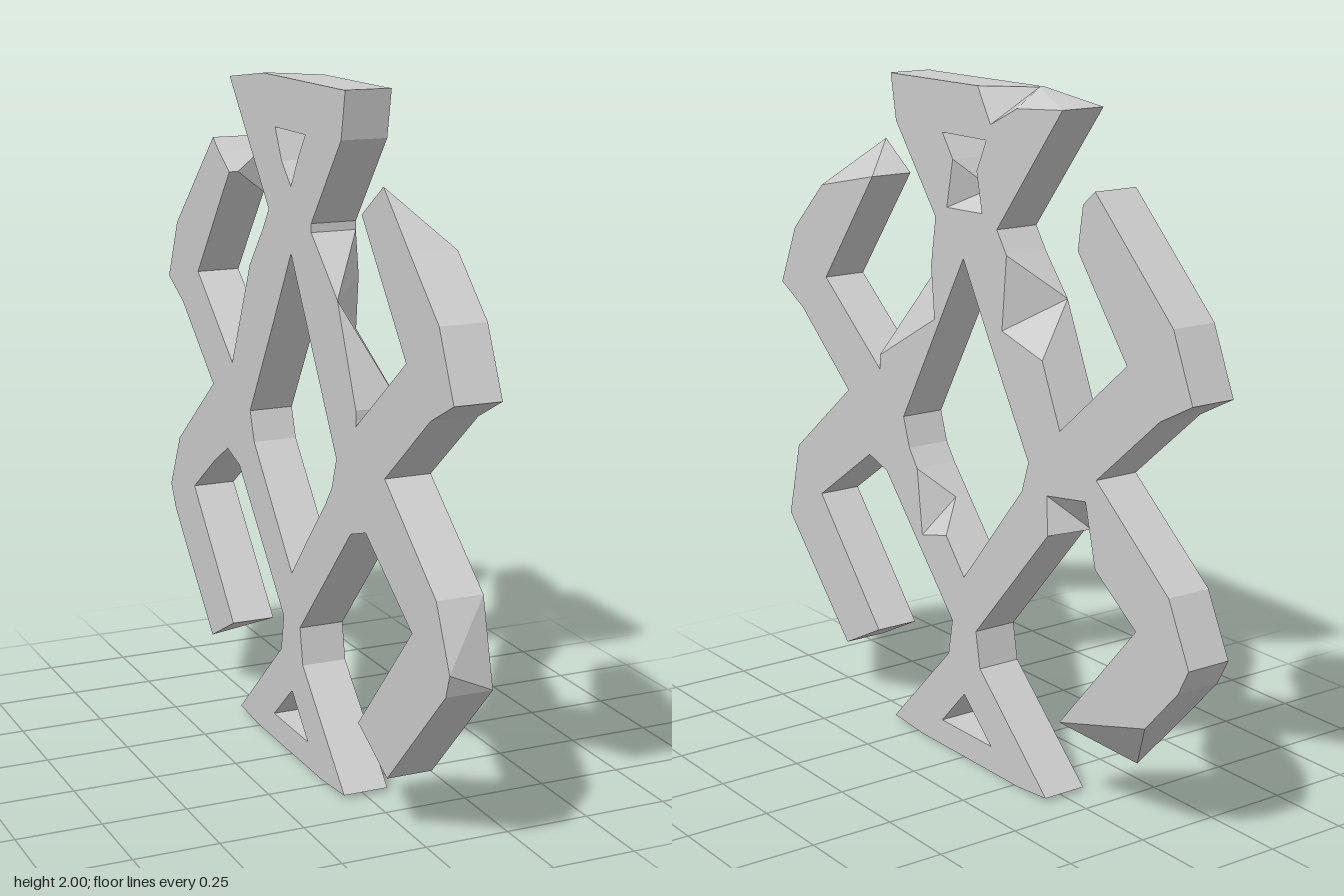
import * as THREE from 'three';

const H = 0.068; // half thickness

// A chip on the edge: rim = [across, up, depth] dent on the wall,
// inner = corners of the break on the face.
const chip = (rim, ...inner) => ({ rim, inner });

// Profile, clockwise as seen on the chipped face
const outline = [
  // head
  [-0.36, 2], [-0.335, 1.999], [0.07, 2], chip([0.195, 2, -0.05], [0.13, 1.9], [0.25, 1.955]), [0.45, 1.97], [0.16, 1.615],
  // shoulder
  [0.205, 1.55], chip([0.305, 1.43, -H], [0.185, 1.335]), [0.37, 1.285], [0.45, 1.105],
  // upper hook
  [0.73, 1.34], [0.52, 1.61], chip([0.46, 1.685, -0.04]), [0.54, 1.735], [0.59, 1.775],
  [0.91, 1.47], [0.99, 1.285], [0.865, 1.22], [0.61, 1.005],
  // lower hook
  [0.915, 0.76], [1, 0.585], [0.96, 0.51], [0.83, 0.37], chip([0.64, 0.17, -H]), [0.46, 0.265],
  [0.785, 0.63], [0.61, 0.755], chip([0.495, 0.825, -0.01], [0.565, 0.935], [0.395, 0.91]), [0.4, 0.795],
  // foot
  [0.06, 0.415], [0.08, 0.305], [0.4, 0.012], [0.27, 0], [-0.22, 0], [-0.37, 0.012], [-0.08, 0.305], [-0.06, 0.415],
  // lower hook, other side
  [-0.405, 0.795], [-0.5, 0.825], [-0.785, 0.63], [-0.46, 0.265], [-0.645, 0.17],
  [-0.98, 0.52], chip([-1, 0.585, -H]), [-0.92, 0.76], [-0.615, 1.005],
  // upper hook, other side
  [-0.875, 1.22], [-1, 1.285], [-0.915, 1.47], [-0.75, 1.625], chip([-0.595, 1.775, -H]), [-0.465, 1.685],
  [-0.735, 1.34], [-0.435, 1.105],
  // shoulder, other side
  [-0.435, 1.15], chip([-0.315, 1.43, -H], [-0.145, 1.31], [-0.16, 1.465]), [-0.14, 1.59], [-0.14, 1.615],
  [-0.335, 1.865],
];

// Openings, counterclockwise
const holes = [
  // middle
  [[0, 1.51], [-0.31, 0.985], [-0.28, 0.895], [-0.24, 0.84], chip([-0.165, 0.755, -0.02], [-0.215, 0.64]),
    [-0.09, 0.67], [0, 0.565], [0.28, 0.895], [0.31, 0.985], [0.125, 1.295]],
  // head
  [[0.11, 1.855], [-0.1, 1.855], [-0.05, 1.785], chip([0, 1.7, -0.03], [-0.08, 1.645], [0.09, 1.65]), [0.065, 1.765]],
  // foot
  [[0, 0.2], [-0.115, 0.08], [0.135, 0.08]],
];

const vectors = (points) => points.map(([a, b]) => new THREE.Vector2(a, b));
const faceRing = (loop) => loop.flatMap((p) => (p.rim ? p.inner : [p]));
const wallRing = (loop) => loop.map((p) => p.rim ?? [p[0], p[1], H]);

function toMesh(name, triangles) {
  const solid = triangles.filter(([a, b, c]) => new THREE.Triangle(
    new THREE.Vector3(...a), new THREE.Vector3(...b), new THREE.Vector3(...c)).getArea() > 1e-8);
  const geometry = new THREE.BufferGeometry();
  geometry.setAttribute('position', new THREE.Float32BufferAttribute(solid.flat(2), 3));
  geometry.rotateY(Math.PI / 2); // across becomes -z, depth becomes x
  geometry.computeVertexNormals();
  const mesh = new THREE.Mesh(geometry, new THREE.MeshStandardMaterial({ color: 0xcccccc, flatShading: true }));
  mesh.name = name;
  return mesh;
}

// Flat face with openings at a given depth
function face(name, ringOf, depth) {
  const shape = new THREE.Shape(vectors(ringOf(outline)));
  shape.holes = holes.map((h) => new THREE.Path(vectors(ringOf(h))));
  const pos = new THREE.ShapeGeometry(shape).toNonIndexed().attributes.position;
  const triangles = [];
  for (let i = 0; i < pos.count; i += 3) {
    const t = [0, 1, 2].map((k) => [pos.getX(i + k), pos.getY(i + k), depth]);
    triangles.push(depth > 0 ? t : t.reverse());
  }
  return toMesh(name, triangles);
}

export function createModel() {
  const group = new THREE.Group();
  group.name = 'chippedOrnament';
  group.add(face('chippedFace', faceRing, H), face('plainFace', wallRing, -H));

  const walls = [];
  const breaks = [];
  for (const loop of [outline, ...holes]) {
    const ring = wallRing(loop);
    const n = ring.length;
    ring.forEach((p, i) => {
      // wall from the back up to the face or the chip
      const q = ring[(i + 1) % n];
      const pb = [p[0], p[1], -H];
      const qb = [q[0], q[1], -H];
      walls.push([pb, p, qb], [p, q, qb]);
      // facets of the broken corner, fanned from the dent
      if (loop[i].rim) {
        const path = [ring[i - 1], ...loop[i].inner.map(([a, b]) => [a, b, H]), q];
        for (let k = 0; k + 1 < path.length; k++) breaks.push([p, path[k], path[k + 1]]);
      }
    });
  }
  group.add(toMesh('sideWalls', walls), toMesh('chips', breaks));
  return group;
}
